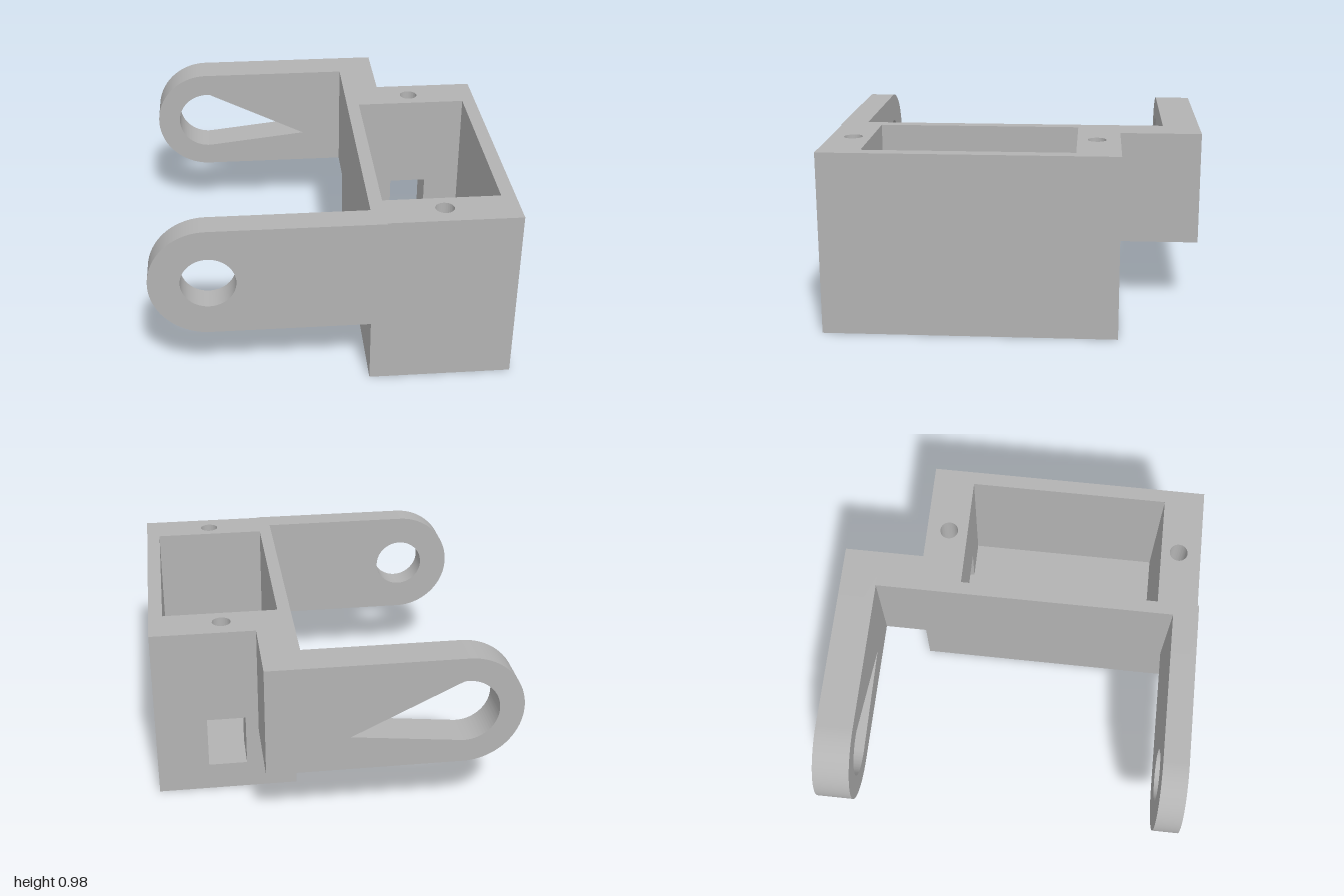
import * as THREE from 'three';
import { toCreasedNormals } from 'three/addons/utils/BufferGeometryUtils.js';

const rect = (x0, y0, x1, y1, Type = THREE.Shape) => {
  const p = new Type();
  p.moveTo(x0, y0);
  p.lineTo(x1, y0);
  p.lineTo(x1, y1);
  p.lineTo(x0, y1);
  p.closePath();
  return p;
};

const circle = (x, y, r) => new THREE.Path().absarc(x, y, r, 0, Math.PI * 2, false);

const polygon = (points) => new THREE.Shape(points.map(([x, y]) => new THREE.Vector2(x, y)));

export function createModel() {
  const group = new THREE.Group();
  const grey = new THREE.MeshStandardMaterial({ color: 0xb3b3b3 });
  grey.name = 'grey plastic';

  const add = (name, geometry) => {
    const mesh = new THREE.Mesh(geometry, grey);
    mesh.name = name;
    group.add(mesh);
  };

  const extrude = (shape, holes, depth) => {
    shape.holes.push(...holes);
    const g = new THREE.ExtrudeGeometry(shape, { depth, bevelEnabled: false, curveSegments: 40 });
    return toCreasedNormals(g, 0.4);
  };

  // Horizontal slice of the housing: plan coordinates are (x, -z)
  const layer = (name, shape, holes, y0, y1) =>
    add(name, extrude(shape, holes, y1 - y0).rotateX(-Math.PI / 2).translate(0, y0, 0));

  // Upright plate: coordinates are (x, y)
  const plate = (name, shape, holes, z0, z1) =>
    add(name, extrude(shape, holes, z1 - z0).translate(0, 0, z0));

  const box = (name, x0, x1, y0, y1, z0, z1) =>
    add(name, new THREE.BoxGeometry(x1 - x0, y1 - y0, z1 - z0)
      .translate((x0 + x1) / 2, (y0 + y1) / 2, (z0 + z1) / 2));

  // Housing
  const L = 0.185, R = 0.95, F = -0.992, B = 0.56, TOP = 0.975, MID = 0.565;
  const cavity = { l: 0.255, r: 0.875, f: -0.77, b: 0.33 };
  const plan = () => rect(L, F, R, B);
  layer('housingBase', plan(), [circle(MID, 0.04, 0.147)], 0, 0.11);
  layer('cavityFloor', plan(), [], 0.11, 0.155);

  // Walls with a cable slot through the back
  const slotL = MID - 0.105, slotR = MID + 0.105;
  layer('slottedWalls', polygon([
    [L, F], [R, F], [R, B], [slotR, B], [slotR, cavity.b], [cavity.r, cavity.b],
    [cavity.r, cavity.f], [cavity.l, cavity.f], [cavity.l, cavity.b],
    [slotL, cavity.b], [slotL, B], [L, B],
  ]), [], 0.155, 0.445);

  // Upper walls with two screw holes
  layer('upperWalls', plan(), [
    rect(cavity.l, cavity.f, cavity.r, cavity.b, THREE.Path),
    circle(MID, 0.435, 0.05),
    circle(MID, -0.868, 0.05),
  ], 0.445, TOP);

  // Arms with rounded ends
  const CX = -0.65, CY = 0.668, RAD = 0.307, LOW = CY - RAD;
  const armOutline = (end) => {
    const s = new THREE.Shape();
    s.moveTo(end, LOW);
    s.lineTo(end, TOP);
    s.absarc(CX, CY, RAD, Math.PI / 2, Math.PI * 1.5, false);
    s.closePath();
    return s;
  };
  plate('frontArm', armOutline(L), [circle(CX, CY, 0.143)], 0.86, 1);
  box('frontArmPad', L, cavity.l, LOW, TOP, -F, 1);

  // Tapered slot: straight sides tangent to the round end
  const slotEnd = -0.05, half = 0.112, r = 0.177;
  const dx = slotEnd - CX;
  const phi = Math.atan2(half, dx) + Math.acos(r / Math.hypot(dx, half));
  const slot = new THREE.Path();
  slot.moveTo(slotEnd, CY + half);
  slot.absarc(CX, CY, r, phi, Math.PI * 2 - phi, false);
  slot.lineTo(slotEnd, CY - half);
  slot.closePath();
  plate('backArm', armOutline(0.39), [slot], -1, -0.8);

  // Block joining the back arm to the housing
  box('backArmBridge', L, 0.39, LOW, TOP, -0.8, -B);

  return group;
}
